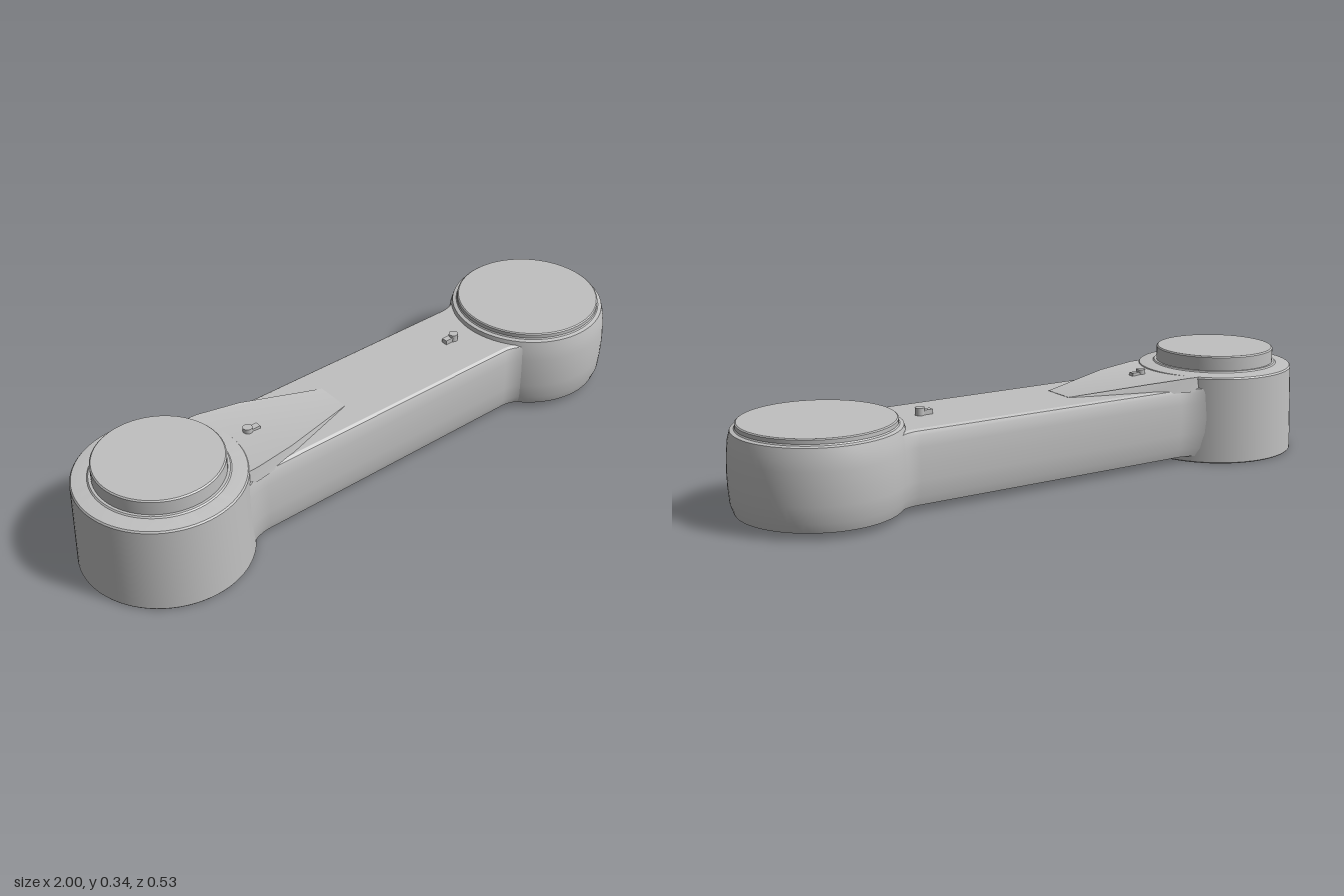
import * as THREE from 'three';
import { toCreasedNormals } from 'three/addons/utils/BufferGeometryUtils.js';

const END = 0.735; // distance of both joint axes from the middle

// Closed solid through stacked rings of [x, y, z], counter-clockwise seen from above
function loft(rings) {
  const n = rings[0].length, index = [];
  for (let l = 0; l < rings.length - 1; l++) {
    for (let i = 0; i < n; i++) {
      const a = l * n + i, b = l * n + (i + 1) % n;
      index.push(a, b, b + n, a, b + n, a + n);
    }
  }
  const cap = (ring, start, flip) => {
    const flat = ring.map(p => new THREE.Vector2(p[0], -p[2]));
    for (const [a, b, c] of THREE.ShapeUtils.triangulateShape(flat, [])) {
      if (flip) index.push(start + a, start + c, start + b);
      else index.push(start + a, start + b, start + c);
    }
  };
  cap(rings[0], 0, true);
  cap(rings[rings.length - 1], (rings.length - 1) * n, false);
  const geo = new THREE.BufferGeometry();
  geo.setAttribute('position', new THREE.Float32BufferAttribute(rings.flat(2), 3));
  geo.setIndex(index);
  return toCreasedNormals(geo, 0.5);
}

function turned(points) {
  const profile = points.map(p => new THREE.Vector2(p[0], p[1]));
  return toCreasedNormals(new THREE.LatheGeometry(profile, 72), 0.5);
}

// Arm outline at one height: straight sides flaring by tangent arcs into the round ends
function armRing(y, w, rLeft, rRight) {
  const flare = (r, R) => {
    const d = Math.sqrt((r + R) ** 2 - (w + R) ** 2);
    const sweep = Math.atan2(d, w + R);
    const pts = [];
    for (let i = 0; i <= 8; i++) {
      const t = sweep * i / 8;
      pts.push([END - d + R * Math.sin(t), w + R - R * Math.cos(t)]);
    }
    return pts;
  };
  const right = flare(rRight, 0.1);
  const left = flare(rLeft, 0.15).map(([x, z]) => [-x, z]).reverse();
  const side = [...left, ...right];
  return [
    ...side.map(([x, z]) => [x, y, z]), [0.53, y, 0],
    ...side.reverse().map(([x, z]) => [x, y, -z]), [-0.53, y, 0],
  ];
}

export function createModel() {
  const group = new THREE.Group();
  const grey = new THREE.MeshStandardMaterial({ color: 0xc0c0c0 });
  grey.name = 'grey';
  const add = (name, geo, x = 0, y = 0, z = 0) => {
    const mesh = new THREE.Mesh(geo, grey);
    mesh.name = name;
    mesh.position.set(x, y, z);
    group.add(mesh);
    return mesh;
  };

  // Tall joint housing with raised cap
  add('tallJoint', turned([
    [0, 0], [0.263, 0], [0.265, 0.003], [0.257, 0.28], [0.253, 0.285],
    [0.207, 0.291], [0.203, 0.295], [0.195, 0.295], [0.195, 0.339], [0.191, 0.343], [0, 0.343],
  ]), -END);

  // Low joint housing: bulged wall, cover on top, round pocket underneath
  add('lowJoint', turned([
    [0, 0.07], [0.185, 0.07], [0.185, 0.021], [0.249, 0.021], [0.259, 0.05],
    [0.263, 0.1], [0.264, 0.15], [0.262, 0.2], [0.258, 0.235], [0.25, 0.265],
    [0.238, 0.268], [0.235, 0.272], [0.235, 0.284], [0.231, 0.287], [0, 0.287],
  ]), END);

  // Connecting arm with rounded edges
  add('arm', loft([
    [0.022, 0.15, 0.255, 0.247], [0.05, 0.159, 0.258, 0.257], [0.1, 0.162, 0.26, 0.261],
    [0.15, 0.163, 0.259, 0.262], [0.2, 0.161, 0.257, 0.26], [0.235, 0.157, 0.256, 0.256],
    [0.247, 0.152, 0.255, 0.253], [0.252, 0.143, 0.25, 0.248],
  ].map(level => armRing(...level))));

  // Tapered ramp falling from the tall joint to the arm
  const edge = [[-0.62, 0.17], [-0.5, 0.165], [-0.36, 0.14], [-0.1, 0.063]];
  const rampRing = (height, inset) => {
    const side = (s, pts) => pts.map(([x, z]) => [x, height(x), s * (z - inset)]);
    return [...side(1, edge), ...side(-1, [...edge].reverse())];
  };
  add('ramp', loft([
    rampRing(() => 0.24, 0),
    rampRing(x => Math.min(0.285, 0.253 - (x + 0.1) * 0.095), 0.006),
  ]));

  // Small catches on top of the arm: a round stud and a short block
  for (const [x, y, s] of [[-0.425, 0.283, 1], [0.4, 0.262, -1]]) {
    add('catchStud', new THREE.CylinderGeometry(0.015, 0.015, 0.026, 20), x, y, 0);
    add('catchBlock', new THREE.BoxGeometry(0.034, 0.016, 0.02), x + s * 0.022, y - 0.003, 0);
  }

  // Shallow tabs under the arm
  for (const z of [-0.1, 0.1]) {
    add('underTab', new THREE.BoxGeometry(0.045, 0.008, 0.03), 0.345, 0.022, z);
  }
  return group;
}
